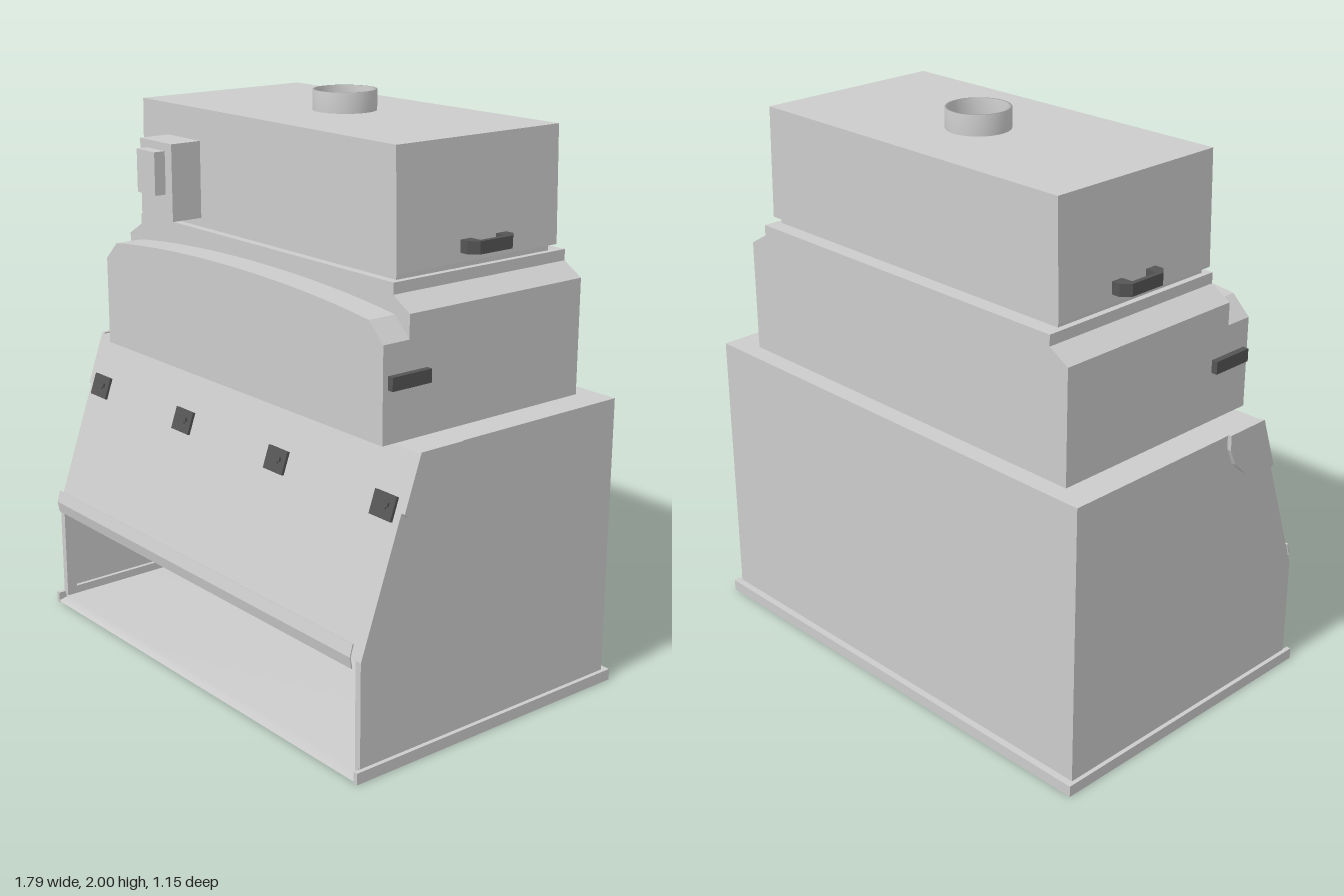
import * as THREE from 'three';

const grey = new THREE.MeshStandardMaterial({ color: 0xcccccc });
const greyDouble = new THREE.MeshStandardMaterial({ color: 0xcccccc, side: THREE.DoubleSide });
const dark = new THREE.MeshStandardMaterial({ color: 0x555555 });

export function createModel() {
  const root = new THREE.Group();

  const add = (name, geometry, material = grey, parent = root) => {
    const mesh = new THREE.Mesh(geometry, material);
    mesh.name = name;
    parent.add(mesh);
    return mesh;
  };
  // Box given by its limits on each axis
  const box = (name, [x0, x1], [y0, y1], [z0, z1], material, parent) => {
    const g = new THREE.BoxGeometry(x1 - x0, y1 - y0, z1 - z0);
    g.translate((x0 + x1) / 2, (y0 + y1) / 2, (z0 + z1) / 2);
    return add(name, g, material, parent);
  };
  // Limits on x, mirrored for side s
  const span = (s, a, b) => (s > 0 ? [a, b] : [-b, -a]);
  // Side profile of [z, y] points swept along x
  const sweepX = (name, points, [x0, x1]) => {
    const shape = new THREE.Shape(points.map(([z, y]) => new THREE.Vector2(-z, y)));
    const g = new THREE.ExtrudeGeometry(shape, { depth: x1 - x0, bevelEnabled: false });
    g.rotateY(Math.PI / 2).translate(x0, 0, 0);
    return add(name, g);
  };
  // Front profile swept along z
  const sweepZ = (name, shape, z0, z1) => {
    const g = new THREE.ExtrudeGeometry(shape, { depth: z1 - z0, bevelEnabled: false, curveSegments: 24 });
    return add(name, g.translate(0, 0, z0));
  };

  // Floor pan: thin raised sheet with edges sloping down to the rim
  const loop = (x, y, z0, z1) => [-x, y, z1, x, y, z1, x, y, z0, -x, y, z0];
  const pan = new THREE.BufferGeometry();
  pan.setAttribute('position', new THREE.Float32BufferAttribute(
    [...loop(0.882, 0.006, -0.555, 0.575), ...loop(0.855, 0.03, -0.53, 0.55)], 3));
  const faces = [4, 5, 6, 4, 6, 7];
  for (let i = 0; i < 4; i++) {
    const j = (i + 1) % 4;
    faces.push(i, j, j + 4, i, j + 4, i + 4);
  }
  pan.setIndex(faces);
  pan.computeVertexNormals();
  add('floorPan', pan, greyDouble);
  box('baseRimBack', [-0.895, 0.895], [0, 0.04], [-0.575, -0.55]);

  // Profiles of the lower cabinet side and its quarter-round corner plate
  const side = [[-0.55, 0.04], [0.55, 0.04], [0.55, 0.4], [0.33, 1.03], [-0.55, 1.03]];
  const corner = [[0.155, 1.035], [0.158, 0.98], [0.185, 0.92], [0.24, 0.87], [0.31, 0.842],
    [0.375, 0.835], [0.393, 0.85], [0.33, 1.03], [0.328, 1.035]];
  for (const s of [-1, 1]) {
    box('baseRimSide', span(s, 0.878, 0.895), [0, 0.04], [-0.55, 0.575]);
    sweepX('cabinetSide', side, span(s, 0.87, 0.88));
    sweepX('cornerPlate', corner, span(s, 0.88, 0.895));
    // Inner frame of the front opening
    box('frontPost', span(s, 0.855, 0.87), [0.025, 0.4], [0.51, 0.55]);
    box('sideCurb', span(s, 0.855, 0.87), [0.025, 0.06], [-0.54, 0.51]);
  }

  // Lower cabinet: hollow, with an open front below the sloping sash
  box('cabinetBack', [-0.87, 0.87], [0.02, 1.03], [-0.55, -0.54]);
  box('cabinetTop', [-0.87, 0.87], [1.02, 1.03], [-0.54, 0.325]);
  sweepX('slopingSash', [[0.54, 0.4], [0.55, 0.4], [0.33, 1.03], [0.32, 1.03]], [-0.87, 0.87]);

  // Bowed grip strip along the lower edge of the sash
  sweepX('sashGrip', [[0.565, 0.38], [0.569, 0.38], [0.576, 0.42], [0.564, 0.462], [0.56, 0.46], [0.572, 0.42]],
    [-0.858, 0.858]);

  // Row of latches lying on the sloping sash
  for (const x of [-0.805, -0.27, 0.265, 0.802]) {
    const latch = new THREE.Group();
    latch.name = 'latch';
    box('latchPlate', [-0.05, 0.05], [-0.04, 0.04], [-0.004, 0.01], dark, latch);
    box('latchCatch', [-0.028, 0.028], [0, 0.014], [0.01, 0.018], dark, latch);
    box('latchTongue', [-0.018, 0.018], [-0.008, 0], [0.01, 0.015], dark, latch);
    latch.position.set(x, 0.853, 0.392);
    latch.rotation.x = -Math.atan2(0.22, 0.63);
    root.add(latch);
  }

  // Middle housing with chamfered shoulders
  const shoulder = [[0.768, 1.03], [0.768, 1.43], [0.692, 1.475], [0.692, 1.513]];
  const mirrored = shoulder.map(([x, y]) => [-x, y]).reverse();
  sweepZ('middleHousing', new THREE.Shape([...shoulder, ...mirrored].map(p => new THREE.Vector2(...p))), -0.482, 0.27);

  // Front bulge of the middle housing with a gently arched top
  const bulge = new THREE.Shape();
  bulge.moveTo(-0.768, 1.03);
  bulge.lineTo(0.768, 1.03);
  bulge.lineTo(0.768, 1.35);
  bulge.lineTo(0.7, 1.415);
  bulge.bezierCurveTo(0.3, 1.468, -0.3, 1.468, -0.7, 1.415);
  bulge.lineTo(-0.768, 1.35);
  sweepZ('frontBulge', bulge, 0.27, 0.375);

  // Neck and slightly tapered filter box
  box('neck', [-0.67, 0.67], [1.513, 1.535], [-0.425, 0.24]);
  const filter = box('filterBox', [-0.69, 0.69], [1.535, 1.93], [-0.443, 0.256]).geometry;
  const p = filter.attributes.position;
  for (let i = 0; i < p.count; i++) {
    if (p.getY(i) > 1.8) p.setX(i, p.getX(i) * 0.985);
  }
  filter.computeVertexNormals();

  // Exhaust collar, open at the top
  const ring = [[0.11, 0], [0.11, 0.07], [0.102, 0.07], [0.102, 0]].map(q => new THREE.Vector2(...q));
  add('exhaustCollar', new THREE.LatheGeometry(ring, 48), greyDouble).position.set(0, 1.93, -0.112);

  // Control unit on the filter box front
  box('controlBox', [-0.525, -0.335], [1.55, 1.818], [0.25, 0.375]);
  box('controlPanel', [-0.483, -0.375], [1.64, 1.79], [0.375, 0.418]);

  // Carry handles on the filter box and grips on the housing, both sides
  for (const s of [-1, 1]) {
    const outline = [[0.68, -0.21], [0.72, -0.21], [0.747, -0.18], [0.747, -0.04], [0.72, -0.01], [0.68, -0.01],
      [0.68, -0.055], [0.73, -0.055], [0.73, -0.165], [0.68, -0.165]];
    const shape = new THREE.Shape(outline.map(([x, z]) => new THREE.Vector2(s * x, -z)));
    const g = new THREE.ExtrudeGeometry(shape, { depth: 0.042, bevelEnabled: false });
    add('carryHandle', g.rotateX(-Math.PI / 2).translate(0, 1.566, 0), dark);
    box('sideGrip', span(s, 0.765, 0.79), [1.205, 1.25], [0.195, 0.355], dark);
  }
  return root;
}
